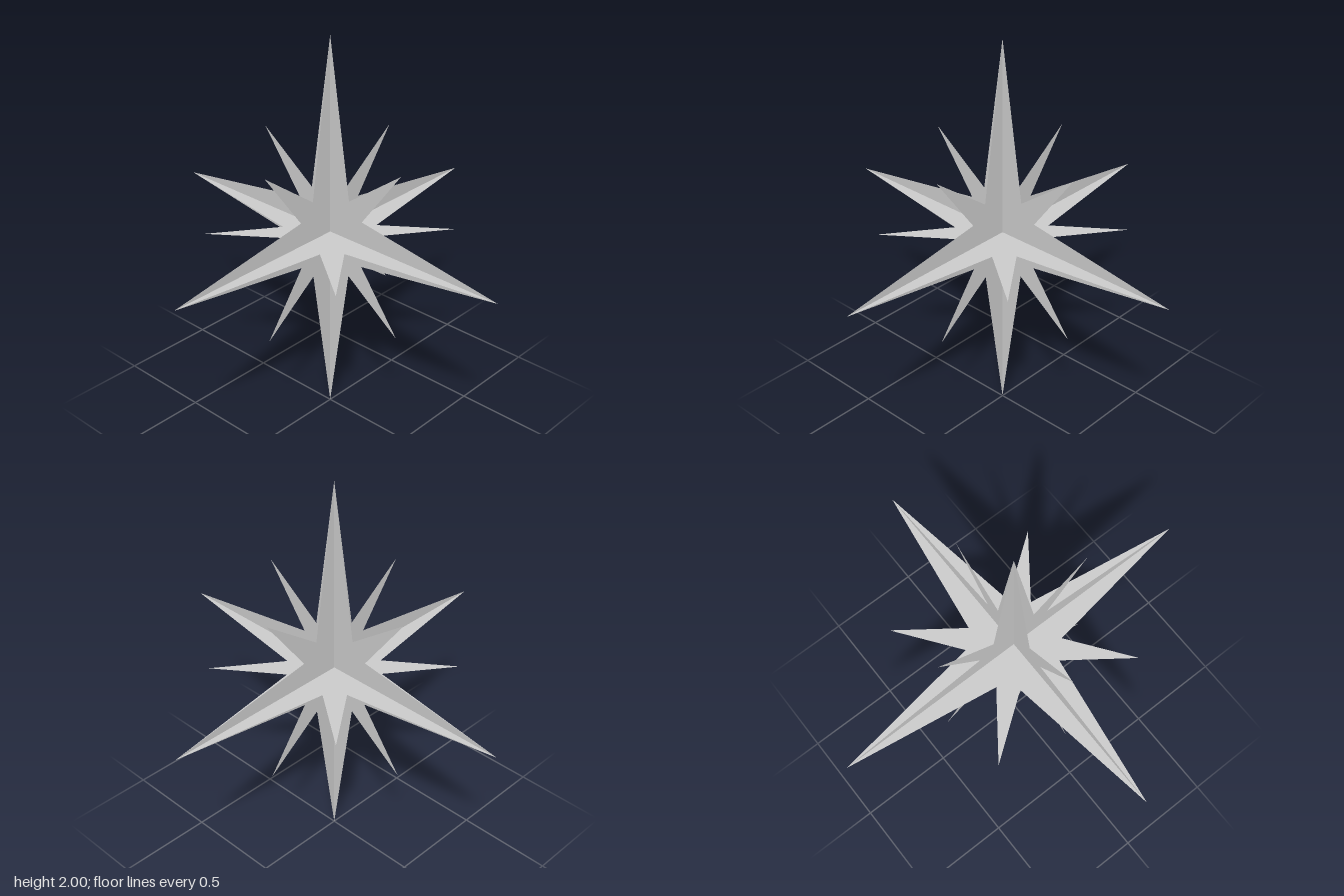
import * as THREE from 'three';

// One flat eight-pointed star: long axis points, short diagonal points
function starGeometry() {
  const quarter = [[1, 0], [0.203, 0.121], [0.433, 0.433], [0.121, 0.203]];
  const points = [];
  for (let i = 0; i < 4; i++) {
    const c = Math.round(Math.cos(i * Math.PI / 2));
    const s = Math.round(Math.sin(i * Math.PI / 2));
    for (const [x, y] of quarter) points.push(new THREE.Vector2(x * c - y * s, x * s + y * c));
  }
  return new THREE.ShapeGeometry(new THREE.Shape(points));
}

export function createModel() {
  const group = new THREE.Group();
  group.name = 'star';
  const material = new THREE.MeshStandardMaterial({
    color: 0xcccccc, flatShading: true, side: THREE.DoubleSide,
  });
  const geometry = starGeometry();

  // Three thin star plates crossing at right angles
  const plates = [
    ['frontPlate', 0, 0],
    ['sidePlate', 0, Math.PI / 2],
    ['levelPlate', -Math.PI / 2, 0],
  ];
  for (const [name, rx, ry] of plates) {
    const plate = new THREE.Mesh(geometry, material);
    plate.name = name;
    plate.rotation.set(rx, ry, 0);
    plate.position.y = 1;
    group.add(plate);
  }
  return group;
}
